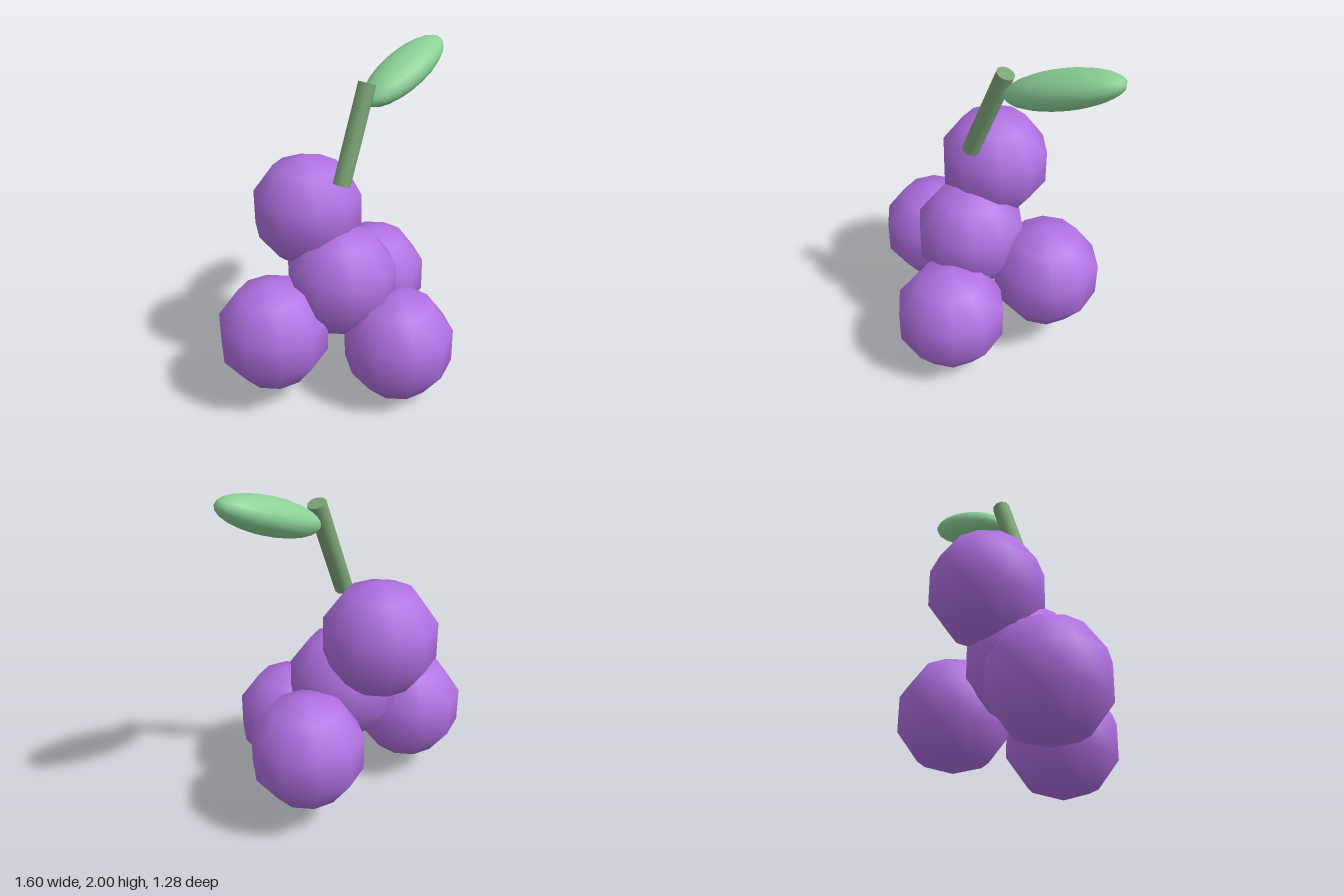
import * as THREE from 'three';

const purple = new THREE.MeshStandardMaterial({ color: 0xb070e2 });
purple.name = 'grape purple';
const stemGreen = new THREE.MeshStandardMaterial({ color: 0x7ba476 });
stemGreen.name = 'stem green';
const leafGreen = new THREE.MeshStandardMaterial({ color: 0x8bd197 });
leafGreen.name = 'leaf green';

export function createModel() {
  const group = new THREE.Group();
  group.name = 'grapeBunch';

  const add = (name, geometry, material, position) => {
    const mesh = new THREE.Mesh(geometry, material);
    mesh.name = name;
    mesh.position.set(...position);
    group.add(mesh);
    return mesh;
  };

  // Grapes: coarse spheres with smooth normals, corners facing front and back
  const grape = new THREE.SphereGeometry(0.339, 10, 5).rotateY(Math.PI / 2);
  const grapes = {
    frontGrape: [0.003, 0.342, 0.318],
    rightGrape: [-0.495, 0.435, -0.23],
    leftGrape: [0.367, 0.48, -0.185],
    middleGrape: [-0.09, 0.692, -0.047],
    topGrape: [-0.09, 1.068, -0.318],
  };
  for (const [name, position] of Object.entries(grapes)) add(name, grape, purple, position);

  // Leaning stem
  const stem = new THREE.CylinderGeometry(0.053, 0.053, 0.588, 10).rotateY(Math.PI / 2);
  add('stem', stem, stemGreen, [0.025, 1.567, -0.047]).rotation.z = -0.384;

  // Leaf: a stretched sphere tilted upwards
  const leaf = new THREE.SphereGeometry(1, 20, 12).scale(0.356, 0.1, 0.143);
  add('leaf', leaf, leafGreen, [0.465, 1.843, -0.047]).rotation.z = 0.361;

  return group;
}
